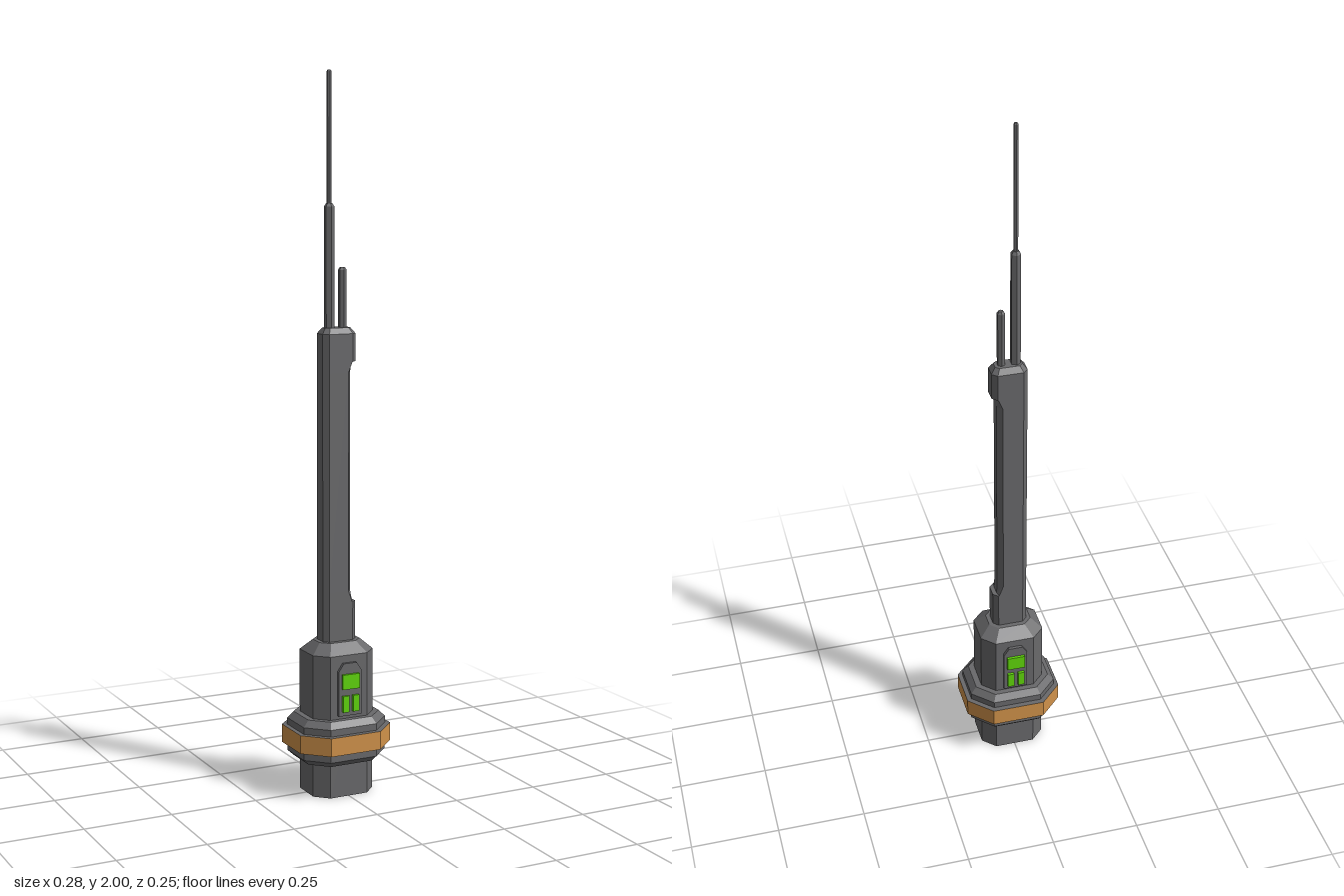
import * as THREE from 'three';

const flat = (name, color, extra = {}) => {
  const m = new THREE.MeshStandardMaterial({ color, flatShading: true, ...extra });
  m.name = name;
  return m;
};

// Chamfered rectangle, counter-clockwise from above. xr / cr override the +x side.
function ring({ y, x, z, c, xr = x, cr = c, crz = c }) {
  return [
    [xr, z - crz], [xr, -(z - crz)], [xr - cr, -z], [-(x - c), -z],
    [-x, -(z - c)], [-x, z - c], [-(x - c), z], [xr - cr, z],
  ].map(([px, pz]) => [px, y, pz]);
}

// Loft through rings; group 0 is the sides, group 1 the end caps
function loft(sections) {
  const rings = sections.map(ring), pos = [];
  for (let i = 0; i < rings.length - 1; i++) {
    for (let j = 0; j < 8; j++) {
      const k = (j + 1) % 8;
      const a = rings[i][j], b = rings[i][k], c = rings[i + 1][k], d = rings[i + 1][j];
      pos.push(...a, ...b, ...c, ...a, ...c, ...d);
    }
  }
  const sides = pos.length / 3;
  const lo = rings[0], hi = rings[rings.length - 1];
  for (let j = 1; j < 7; j++) {
    pos.push(...hi[0], ...hi[j], ...hi[j + 1]);
    pos.push(...lo[0], ...lo[j + 1], ...lo[j]);
  }
  const g = new THREE.BufferGeometry();
  g.setAttribute('position', new THREE.Float32BufferAttribute(pos, 3));
  g.addGroup(0, sides, 0);
  g.addGroup(sides, pos.length / 3 - sides, 1);
  g.computeVertexNormals();
  return g;
}

export function createModel() {
  const grey = flat('dark grey metal', 0x69696b);
  const orange = flat('orange band', 0xd0924a);
  const green = flat('green light', 0x5fd40a);
  const root = new THREE.Group();
  root.name = 'antennaDevice';

  const add = (name, geo, mat, parent = root) => {
    const m = new THREE.Mesh(geo, mat);
    m.name = name;
    parent.add(m);
    return m;
  };

  // Base and upper housing, one eight-sided body with a sloped shoulder
  add('housing', loft([
    { y: 0, x: 0.093, z: 0.079, c: 0.036 },
    { y: 0.405, x: 0.093, z: 0.079, c: 0.036 },
    { y: 0.434, x: 0.062, z: 0.046, c: 0.024 },
  ]), [grey, grey]);

  // Stepped collar with bevelled rims
  add('collar', loft([
    { y: 0.097, x: 0.11, z: 0.095, c: 0.047 },
    { y: 0.113, x: 0.127, z: 0.11, c: 0.056 },
    { y: 0.207, x: 0.127, z: 0.11, c: 0.056 },
    { y: 0.225, x: 0.11, z: 0.095, c: 0.047 },
  ]), [grey, grey]);

  // Band: coloured rim, grey top and bottom
  add('band', loft([
    { y: 0.136, x: 0.14, z: 0.125, c: 0.064 },
    { y: 0.188, x: 0.14, z: 0.125, c: 0.064 },
  ]), [orange, grey]);

  // Mast with a long recess along its +x side
  const full = { x: 0.05, z: 0.032, c: 0.014 };
  const cutEnd = { ...full, xr: 0.038, cr: 0.004, crz: 0.016 };
  const cut = { ...full, xr: 0.036, cr: 0.014, crz: 0.018 };
  add('mast', loft([
    { y: 0.43, ...full },
    { y: 0.542, ...full },
    { y: 0.543, ...cutEnd },
    { y: 0.575, ...cut },
    { y: 1.185, ...cut },
    { y: 1.214, ...cutEnd },
    { y: 1.215, ...full },
    { y: 1.292, ...full },
    { y: 1.308, x: 0.038, z: 0.02, c: 0.01 },
  ]), [grey, grey]);

  // Six-sided rods with tapered tips
  const rod = (name, x, r, y0, y1) => {
    const tip = r * 0.6;
    const profile = [[0, y0], [r, y0], [r, y1 - tip], [r * 0.6, y1], [0, y1]]
      .map(([a, b]) => new THREE.Vector2(a, b));
    add(name, new THREE.LatheGeometry(profile, 6), grey).position.x = x;
  };
  rod('tallRodSleeve', -0.021, 0.0145, 1.3, 1.645);
  rod('tallRodTip', -0.021, 0.0065, 1.64, 2);
  rod('shortRod', 0.019, 0.0115, 1.3, 1.472);

  // Control panels on front and back
  const plate = new THREE.Shape([
    [-0.035, 0.235], [0.035, 0.235], [0.035, 0.362],
    [0.02, 0.384], [-0.02, 0.384], [-0.035, 0.362],
  ].map(([a, b]) => new THREE.Vector2(a, b)));
  for (const side of ['front', 'back']) {
    const panel = new THREE.Group();
    panel.name = side + 'Panel';
    panel.rotation.y = side === 'front' ? 0 : Math.PI;
    root.add(panel);
    const base = add('panelPlate',
      new THREE.ExtrudeGeometry(plate, { depth: 0.012, bevelEnabled: false }), grey, panel);
    base.position.z = 0.076;
    const light = (name, x, y, w, h) =>
      add(name, new THREE.BoxGeometry(w, h, 0.009), green, panel).position.set(x, y, 0.0915);
    light('screen', 0, 0.333, 0.052, 0.042);
    for (const s of [-1, 1]) light('button', s * 0.0155, 0.27, 0.019, 0.046);
  }
  return root;
}
